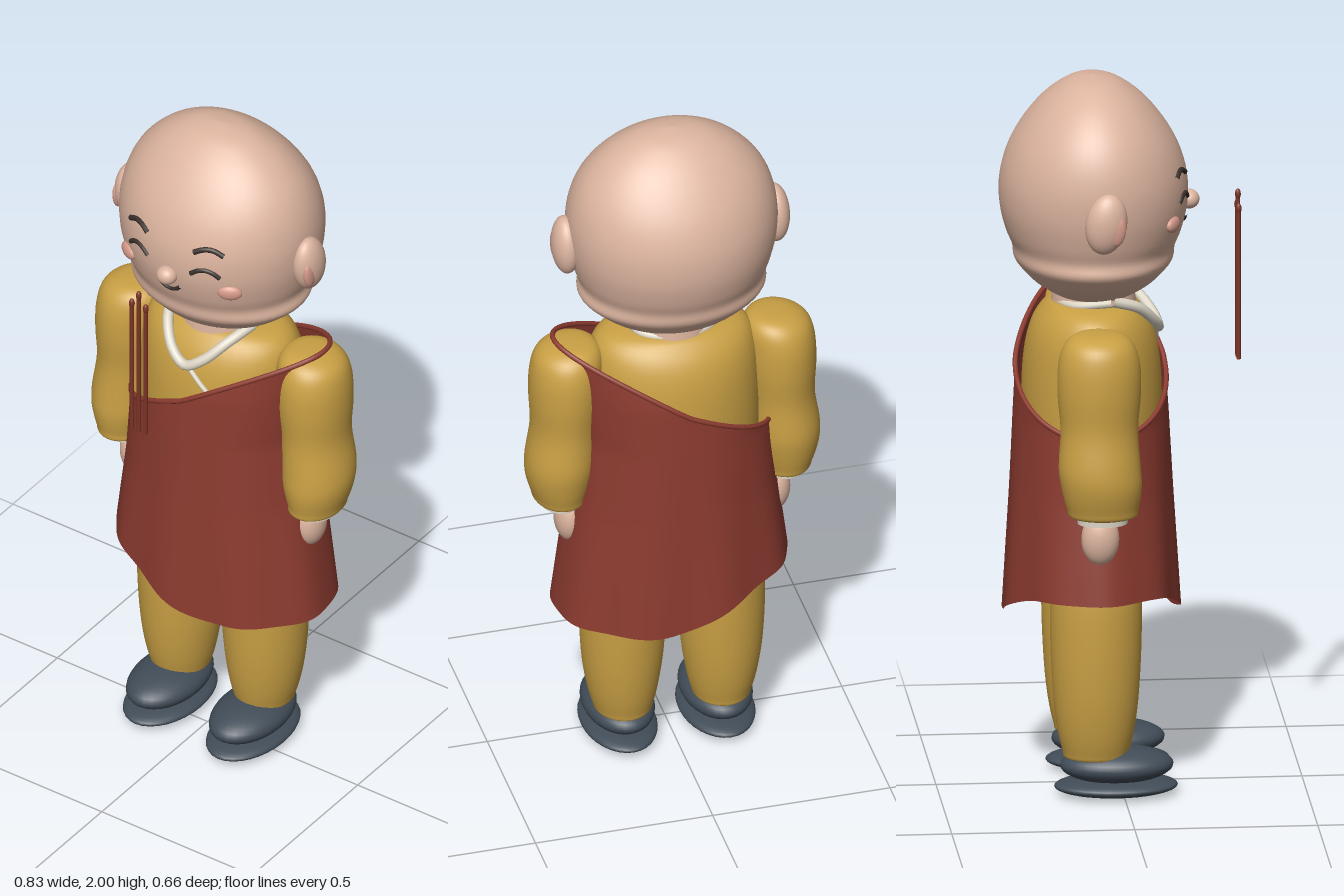
import * as THREE from 'three';
import { mergeVertices } from 'three/addons/utils/BufferGeometryUtils.js';

const mat = (name, color, side = THREE.FrontSide) => {
  const m = new THREE.MeshStandardMaterial({ color, side });
  m.name = name;
  return m;
};

// Smooth grid surface from a rule f(u, v); u runs round the body, v runs downwards
function surface(f, nu, nv) {
  const pos = [], idx = [];
  for (let i = 0; i <= nv; i++)
    for (let j = 0; j <= nu; j++) pos.push(...f((j % nu) / nu, i / nv));
  for (let i = 0; i < nv; i++)
    for (let j = 0; j < nu; j++) {
      const a = i * (nu + 1) + j, b = a + nu + 1;
      idx.push(a, b, b + 1, a, b + 1, a + 1);
    }
  let g = new THREE.BufferGeometry();
  g.setAttribute('position', new THREE.Float32BufferAttribute(pos, 3));
  g.setIndex(idx);
  g = mergeVertices(g, 1e-5);
  g.computeVertexNormals();
  return g;
}

// Smoothly interpolated row of a table of cross-sections
function row(rows, t) {
  const n = rows.length - 1, k = Math.min(Math.floor(t * n), n - 1), w = t * n - k;
  const at = (i) => rows[Math.max(0, Math.min(n, i))];
  return rows[0].map((_, c) => {
    const [p, a, b, q] = [at(k - 1)[c], at(k)[c], at(k + 1)[c], at(k + 2)[c]];
    const m0 = (b - p) / 2, m1 = (q - a) / 2;
    return a + m0 * w + (3 * (b - a) - 2 * m0 - m1) * w * w + (2 * (a - b) + m0 + m1) * w ** 3;
  });
}

// Elliptical loft, rows top to bottom: [y, centreX, centreZ, radiusX, radiusZ]
const loft = (rows, nu = 40) => surface((u, v) => {
  const [y, cx, cz, rx, rz] = row(rows, v), a = u * Math.PI * 2;
  return [cx + rx * Math.sin(a), y, cz + rz * Math.cos(a)];
}, nu, (rows.length - 1) * 4);

// Linear lookup in a table of [key, value, ...] with rising keys
function lookup(table, k, c = 1) {
  if (k <= table[0][0]) return table[0][c];
  for (let i = 1; i < table.length; i++)
    if (k <= table[i][0]) {
      const [a, b] = [table[i - 1], table[i]];
      return a[c] + (b[c] - a[c]) * (k - a[0]) / (b[0] - a[0]);
    }
  return table[table.length - 1][c];
}

// Half-widths of the head by height: [y, radiusX, radiusZ]
const HEAD = [
  [1.37, 0, 0], [1.38, 0.1, 0.085], [1.42, 0.185, 0.155], [1.46, 0.236, 0.196], [1.49, 0.261, 0.217],
  [1.525, 0.257, 0.222], [1.57, 0.272, 0.24], [1.64, 0.288, 0.256], [1.72, 0.292, 0.255],
  [1.8, 0.278, 0.232], [1.87, 0.245, 0.192], [1.93, 0.19, 0.142], [1.97, 0.129, 0.092],
  [1.99, 0.075, 0.052], [2, 0, 0],
];
const HEAD_Z = -0.07;
const faceZ = (x, y) =>
  HEAD_Z + lookup(HEAD, y, 2) * Math.sqrt(Math.max(0, 1 - (x / lookup(HEAD, y, 1)) ** 2));

// Robe half-widths by height: [y, radiusX, radiusZ]
const ROBE = [
  [0.475, 0.335, 0.242], [0.66, 0.312, 0.232], [0.84, 0.288, 0.222],
  [1.05, 0.272, 0.212], [1.2, 0.295, 0.203], [1.36, 0.335, 0.17],
];

// Point on the draped robe: slanted top edge, raised right hem, soft folds
function robePoint(u, v) {
  const a = u * Math.PI * 2, s = Math.sin(a), c = Math.cos(a);
  const top = 1.17 + 0.19 * (s > 0 ? s : s * 0.72);
  const hem = 0.475 + 0.105 * (1 - THREE.MathUtils.smoothstep(s, -0.85, 0.3));
  const y = top + (hem - top) * v;
  const fold = 1 + 0.025 * v * Math.cos(9 * a + 0.6);
  return [lookup(ROBE, y, 1) * s * (1 + (fold - 1) * 0.4), y, -0.078 + lookup(ROBE, y, 2) * c * fold];
}

export function createModel() {
  const skin = mat('skin', 0xdcb49f), pink = mat('blush', 0xd59a8a), gold = mat('gold cloth', 0xc9a044);
  const red = mat('red robe', 0x8c3b30, THREE.DoubleSide), slate = mat('slate shoes', 0x414c57);
  const cream = mat('cream trim', 0xddd6c6), dark = mat('dark features', 0x3a302c);
  const stick = mat('incense red', 0x7d3426);
  const model = new THREE.Group();
  model.name = 'monk';

  const add = (name, geo, material, x = 0, y = 0, z = 0) => {
    const m = new THREE.Mesh(geo, material);
    m.name = name;
    m.position.set(x, y, z);
    model.add(m);
    return m;
  };
  const ball = (name, material, p, r) => {
    const m = add(name, new THREE.SphereGeometry(1, 32, 20), material, ...p);
    m.scale.set(...r);
    return m;
  };
  const tube = (name, material, pts, r, closed = false, n = 32) => add(name, new THREE.TubeGeometry(
    new THREE.CatmullRomCurve3(pts.map((p) => new THREE.Vector3(...p)), closed), n, r, 10, closed), material);
  const onFace = (pts) => pts.map(([x, y]) => [x, y, faceZ(x, y) + 0.002]);

  // Head and neck
  add('head', loft([...HEAD].reverse().map(([y, rx, rz]) => [y, 0, HEAD_Z, rx, rz]), 56), skin);
  add('neck', new THREE.CylinderGeometry(0.11, 0.12, 0.1, 32), skin, 0, 1.37, -0.07);
  ball('nose', skin, [0, 1.64, 0.192], [0.03, 0.027, 0.028]);
  tube('mouth', dark, onFace([[-0.036, 1.608], [-0.02, 1.592], [0, 1.586], [0.02, 1.592], [0.036, 1.608]]), 0.006);

  // Torso under the robe
  add('torso', loft([
    [1.375, 0, -0.075, 0, 0], [1.372, 0, -0.075, 0.12, 0.09], [1.35, 0, -0.075, 0.2, 0.13],
    [1.29, 0, -0.075, 0.232, 0.168], [1.18, 0, -0.075, 0.24, 0.188], [1.0, 0, -0.075, 0.24, 0.19],
    [0.75, 0, -0.075, 0.23, 0.17], [0.56, 0, -0.075, 0.2, 0.13], [0.54, 0, -0.075, 0, 0],
  ]), gold);

  // Collar and the crossing trim below it
  tube('collar', cream, [[-0.13, 1.39, -0.03], [-0.1, 1.363, 0.045], [-0.05, 1.31, 0.095], [0, 1.282, 0.108],
    [0.05, 1.31, 0.095], [0.1, 1.363, 0.045], [0.13, 1.39, -0.03]], 0.015);
  tube('collarBack', cream, [[-0.13, 1.385, -0.03], [-0.1, 1.372, -0.13], [0, 1.37, -0.17],
    [0.1, 1.372, -0.13], [0.13, 1.385, -0.03]], 0.012);
  tube('chestTrim', cream, [[0, 1.28, 0.1], [0.05, 1.235, 0.105], [0.1, 1.19, 0.102]], 0.007);

  // Robe over the left shoulder, with a rolled top edge
  add('robe', surface(robePoint, 108, 36), red);
  tube('robeEdge', red, Array.from({ length: 48 }, (_, i) => robePoint(i / 48, 0)), 0.007, true, 96);

  for (const s of [1, -1]) {
    const side = s > 0 ? 'left' : 'right';

    // Ears
    const ear = ball(side + 'Ear', skin, [s * 0.295, 1.655, -0.06], [0.04, 0.085, 0.057]);
    ear.rotation.x = 0.15;
    const inner = ball(side + 'InnerEar', pink, [s * 0.318, 1.64, -0.03], [0.012, 0.042, 0.022]);
    inner.rotation.x = 0.15;

    // Brows, smiling eyes and cheeks
    tube(side + 'Brow', dark, onFace([[0.076, 1.738], [0.1, 1.75], [0.125, 1.752], [0.155, 1.738]]
      .map(([x, y]) => [s * x, y])), 0.008);
    tube(side + 'Eye', dark, onFace([[0.07, 1.668], [0.09, 1.682], [0.11, 1.687], [0.13, 1.681], [0.148, 1.666]]
      .map(([x, y]) => [s * x, y])), 0.007);
    const cheek = ball(side + 'Cheek', pink, [s * 0.168, 1.615, faceZ(0.168, 1.615) + 0.002], [0.034, 0.023, 0.015]);
    cheek.rotation.y = s * 0.5;

    // Sleeve, cuff and hand
    add(side + 'Sleeve', loft([
      [1.347, 0.275, -0.08, 0, 0], [1.342, 0.282, -0.08, 0.055, 0.06], [1.315, 0.292, -0.08, 0.09, 0.095],
      [1.26, 0.299, -0.08, 0.1, 0.112], [1.18, 0.302, -0.08, 0.1, 0.114], [1.08, 0.306, -0.08, 0.092, 0.106],
      [0.98, 0.315, -0.08, 0.097, 0.112], [0.92, 0.318, -0.075, 0.093, 0.11], [0.86, 0.318, -0.072, 0.077, 0.098],
      [0.836, 0.316, -0.07, 0.066, 0.085], [0.835, 0.316, -0.07, 0, 0],
    ].map(([y, x, ...rest]) => [y, s * x, ...rest])), gold);
    const cuff = add(side + 'Cuff', new THREE.CylinderGeometry(0.055, 0.055, 0.02, 28), cream, s * 0.316, 0.828, -0.072);
    cuff.scale.z = 1.25;
    ball(side + 'Hand', skin, [s * 0.29, 0.765, -0.076], [0.042, 0.075, 0.052]);

    // Trouser leg
    add(side + 'Leg', loft([
      [0.75, 0.12, -0.075, 0.1, 0.11], [0.6, 0.136, -0.075, 0.118, 0.124], [0.45, 0.139, -0.075, 0.12, 0.125],
      [0.3, 0.14, -0.075, 0.113, 0.118], [0.2, 0.14, -0.075, 0.1, 0.107], [0.13, 0.139, -0.075, 0.084, 0.092],
      [0.11, 0.139, -0.075, 0.07, 0.08], [0.109, 0.139, -0.075, 0, 0],
    ].map(([y, x, ...rest]) => [y, s * x, ...rest])), gold);

    // Shoe
    ball(side + 'ShoeUpper', slate, [s * 0.138, 0.086, -0.018], [0.098, 0.05, 0.155]);
    ball(side + 'ShoeSole', slate, [s * 0.138, 0.027, -0.02], [0.104, 0.027, 0.169]);
  }

  // Three incense sticks held before the face
  for (const i of [-1, 0, 1]) {
    const top = i === 0 ? 1.65 : 1.615, x = i * 0.023;
    add('incenseStick', new THREE.CylinderGeometry(0.006, 0.006, top - 1.19, 12), stick, x, (top + 1.19) / 2, 0.325);
    ball('incenseTip', stick, [x, top, 0.325], [0.008, 0.015, 0.008]);
  }
  return model;
}
